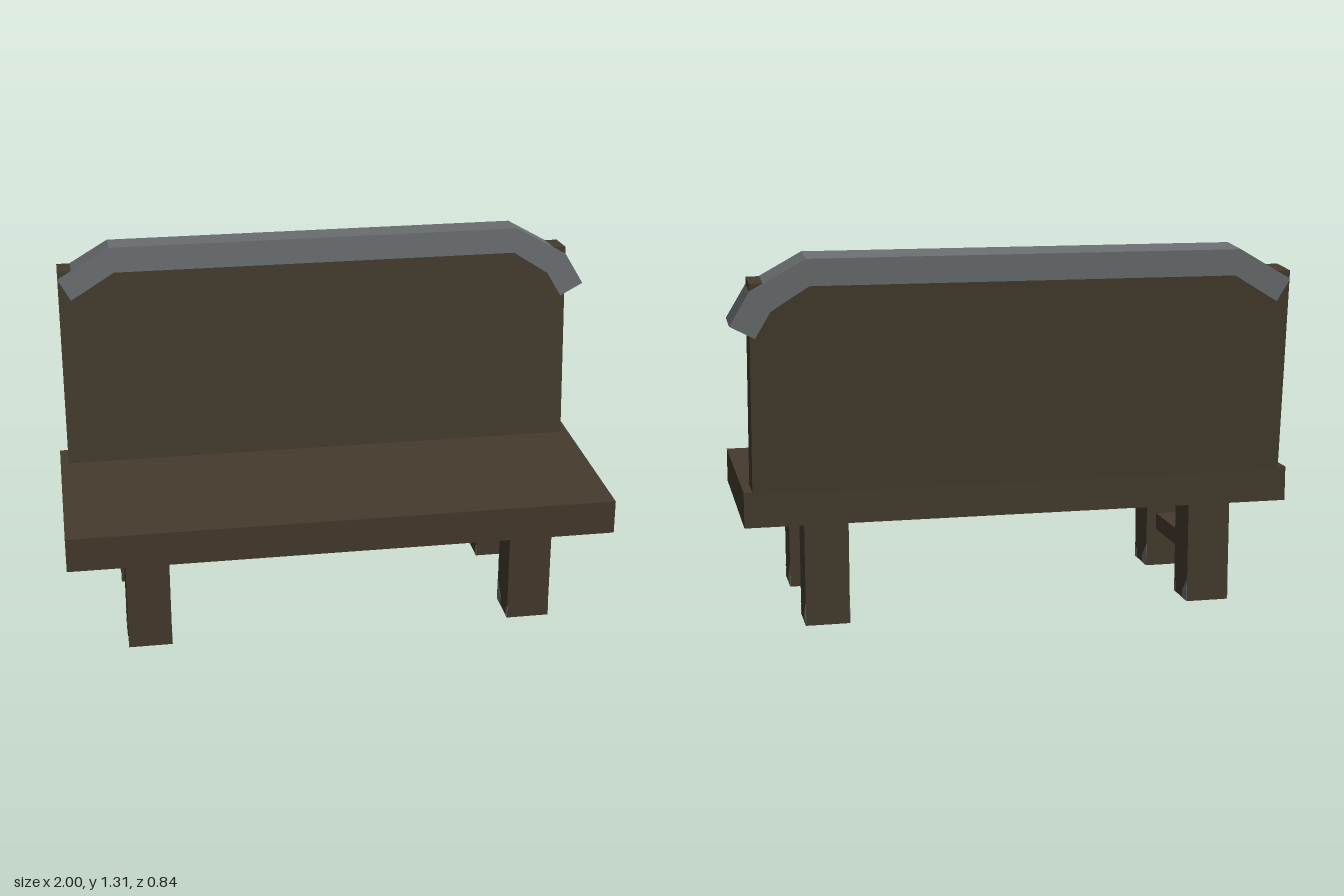
import * as THREE from 'three';

export function createModel() {
  const model = new THREE.Group();
  model.name = 'bench';
  const wood = new THREE.MeshStandardMaterial({ color: 0x453c2e });
  wood.name = 'dark wood';
  const metal = new THREE.MeshStandardMaterial({ color: 0x6c7072 });
  metal.name = 'grey metal';

  // box given by its minimum and maximum on each axis
  function box(name, material, [x0, x1], [y0, y1], [z0, z1], parent = model) {
    const mesh = new THREE.Mesh(new THREE.BoxGeometry(x1 - x0, y1 - y0, z1 - z0), material);
    mesh.position.set((x0 + x1) / 2, (y0 + y1) / 2, (z0 + z1) / 2);
    mesh.name = name;
    parent.add(mesh);
    return mesh;
  }

  const toShape = (points) => new THREE.Shape(points.map(([x, y]) => new THREE.Vector2(x, y)));

  // seat
  box('seat', wood, [-1, 0.962], [0.367, 0.492], [-0.34, 0.42]);

  // legs, with worn metal corners at the feet
  const chips = [
    [[0, 0], [0.053, 0], [0.053, 0.03], [0, 0.083]],
    [[0.132, 0], [0.15, 0], [0.15, 0.047], [0.132, 0.035]],
  ];
  for (const [x0, x1] of [[-0.795, -0.64], [0.6, 0.755]]) {
    for (const z0 of [-0.32, 0.185]) {
      box('leg', wood, [x0, x1], [0, 0.37], [z0, z0 + 0.15]);
      for (const points of chips) {
        const geometry = new THREE.ExtrudeGeometry(toShape(points), { depth: 0.002, bevelEnabled: false });
        geometry.rotateY(-Math.PI / 2); // shape x runs along z
        for (const x of [x0 + 0.001, x1 + 0.001]) {
          const chip = new THREE.Mesh(geometry, metal);
          chip.position.set(x, 0, z0);
          chip.name = 'footCorner';
          model.add(chip);
        }
      }
    }
  }

  // stretcher joins one pair of legs only
  box('stretcher', wood, [-0.757, -0.678], [0.145, 0.208], [-0.18, 0.195]);

  // leaning backrest and its bent cap rail
  const back = new THREE.Group();
  back.name = 'back';
  back.position.set(0, 0.49, -0.278);
  back.rotation.x = -0.087;
  model.add(back);
  box('backrest', wood, [-0.97, 0.932], [-0.05, 0.734], [-0.0625, 0.0625], back);

  const outline = [
    [-0.97, 0.705], [-0.925, 0.625], [-0.765, 0.722], [0.732, 0.722],
    [0.862, 0.638], [0.915, 0.547], [1, 0.592], [0.932, 0.708],
    [0.742, 0.815], [-0.78, 0.815],
  ];
  const capGeometry = new THREE.ExtrudeGeometry(toShape(outline), { depth: 0.138, bevelEnabled: false });
  capGeometry.translate(0, 0, -0.069);
  const cap = new THREE.Mesh(capGeometry, metal);
  cap.name = 'capRail';
  back.add(cap);

  return model;
}
